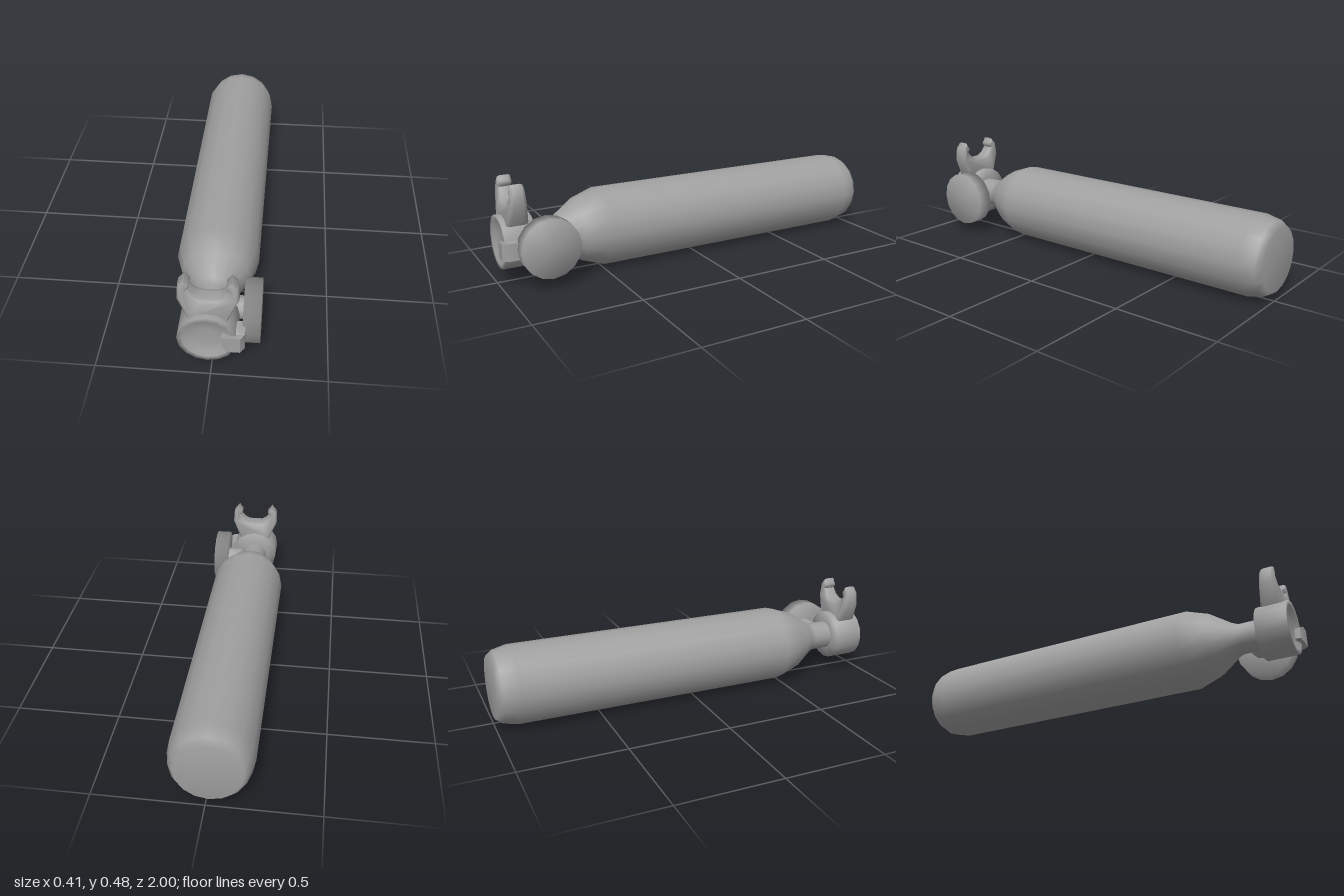
import * as THREE from 'three';
import { toCreasedNormals } from 'three/addons/utils/BufferGeometryUtils.js';

const CX = -0.015, CY = 0.193; // main axis of the tank

export function createModel() {
  const group = new THREE.Group();
  const grey = new THREE.MeshStandardMaterial({ color: 0xa0a0a0 });
  grey.name = 'grey metal';

  const add = (name, geometry, x = 0, y = 0, z = 0) => {
    const mesh = new THREE.Mesh(geometry, grey);
    mesh.name = name;
    mesh.position.set(x, y, z);
    group.add(mesh);
  };
  // profile points are [radius, position along the axis]
  const lathe = (points, sides = 16) =>
    new THREE.LatheGeometry(points.map(([r, a]) => new THREE.Vector2(r, a)), sides);
  const shapeOf = (points) => new THREE.Shape(points.map(([x, y]) => new THREE.Vector2(x, y)));

  // long bottle with shoulder and neck
  add('tank', lathe([
    [0, -1], [0.15, -1], [0.173, -0.97], [0.19, -0.9], [0.19, 0.49],
    [0.152, 0.6], [0.085, 0.7], [0.072, 0.73], [0.072, 0.84],
  ]).rotateX(Math.PI / 2), CX, CY);

  // valve head with a dished front
  add('valveHead', lathe([
    [0.07, 0.825], [0.127, 0.832], [0.127, 0.98], [0.105, 0.98],
    [0.085, 0.965], [0.045, 0.96], [0, 0.96],
  ]).rotateX(Math.PI / 2), CX, CY);

  // side stem and hand wheel
  add('wheelStem', lathe([[0, 0.035], [0.03, 0.04], [0.052, 0.06], [0.052, 0.135]], 12)
    .rotateZ(-Math.PI / 2), 0, 0.195, 0.785);
  add('handWheel', lathe([[0, 0.13], [0.14, 0.13], [0.14, 0.204], [0, 0.204]])
    .rotateZ(-Math.PI / 2), 0, 0.195, 0.797);

  // strap wrapping from the front rim round to the side, narrowed at its tip
  const strap = new THREE.ExtrudeGeometry(shapeOf([
    [0.047, -0.99], [0.047, -0.965], [0.072, -0.96], [0.1, -0.96], [0.1, -0.9],
    [0.143, -0.9], [0.143, -0.975], [0.125, -1], [0.072, -1],
  ].reverse()), { depth: 0.082, bevelEnabled: false });
  strap.translate(0, 0, -0.041).rotateX(-Math.PI / 2);
  const sp = strap.attributes.position;
  for (let i = 0; i < sp.count; i++) {
    if (sp.getX(i) < 0.06) sp.setY(i, sp.getY(i) * 0.62);
  }
  add('frontStrap', toCreasedNormals(strap, 0.8), 0, 0.19, 0);

  // two-pronged yoke, half outline mirrored about its middle
  const half = [
    [0.07, 0.26], [0.087, 0.29], [0.128, 0.385], [0.123, 0.45], [0.095, 0.48], [0.086, 0.463],
    [0.075, 0.453], [0.077, 0.437], [0.085, 0.428], [0.062, 0.4], [0.037, 0.382],
  ];
  const outline = [...half, ...half.map(([x, y]) => [-x, y]).reverse()];
  const yoke = new THREE.ExtrudeGeometry(shapeOf(outline), {
    depth: 0.06, bevelEnabled: true, bevelSize: 0.012, bevelOffset: -0.012,
    bevelThickness: 0.022, bevelSegments: 2,
  });
  yoke.translate(0, 0, -0.03);
  const yp = yoke.attributes.position;
  for (let i = 0; i < yp.count; i++) {
    const t = THREE.MathUtils.clamp((yp.getY(i) - 0.35) / 0.05, 0, 1);
    yp.setZ(i, yp.getZ(i) * (1 - 0.34 * t)); // prongs are thinner than the base
  }
  add('yoke', toCreasedNormals(yoke, 1.1), -0.012, 0, 0.908);

  return group;
}
